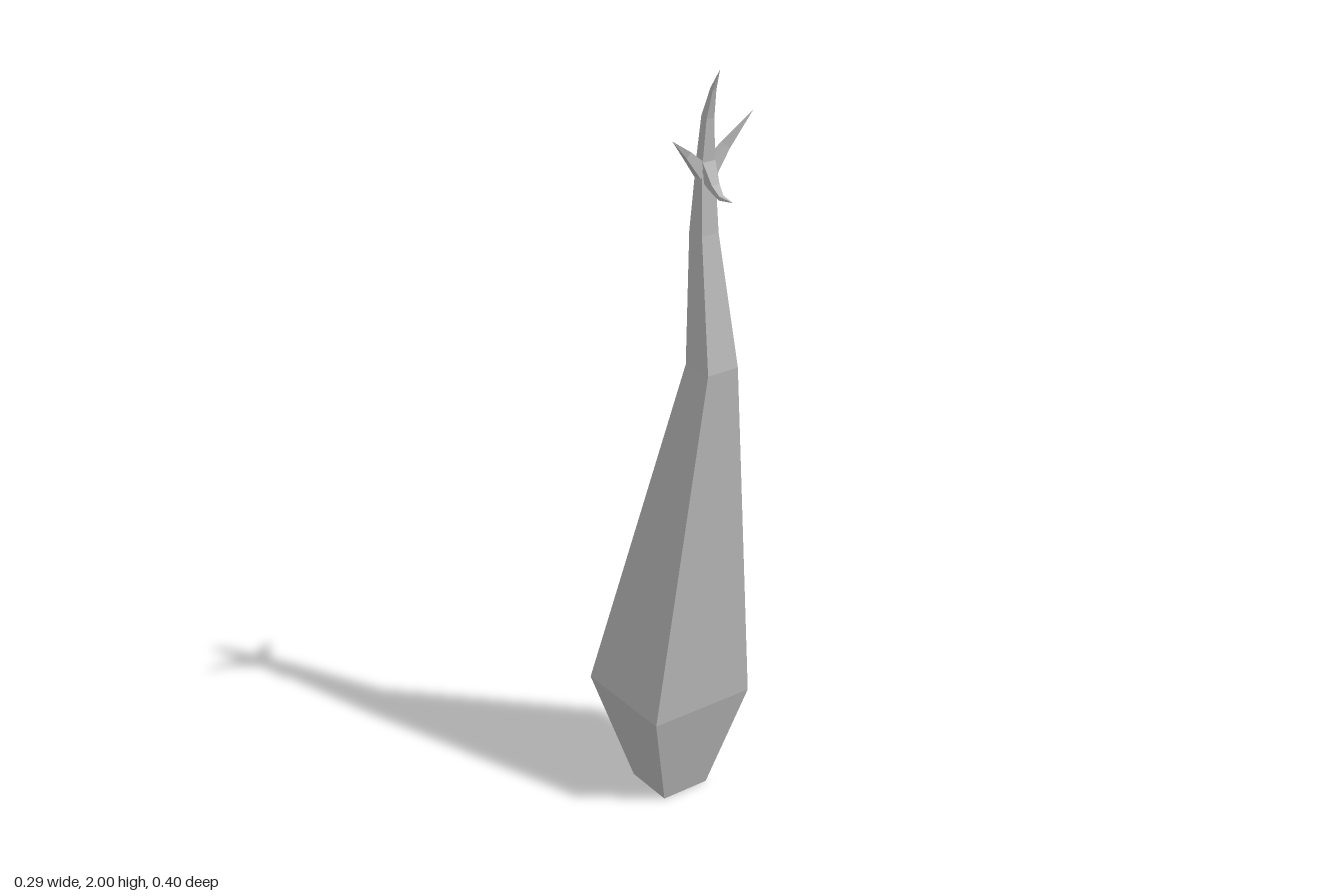
import * as THREE from 'three';

const skin = new THREE.MeshStandardMaterial({ color: 0xb8b8b8, flatShading: true });
skin.name = 'plain grey';

// Four-sided loft. Each section: [x, y, z, half size along u, half size along v, direction]
// A zero-size last section makes a pointed tip.
function loft(name, u, sections) {
  const U = new THREE.Vector3(...u).normalize();
  const rings = sections.map(([x, y, z, hu, hv, dir]) => {
    const V = new THREE.Vector3(...dir).cross(U).normalize();
    return [[1, 1], [-1, 1], [-1, -1], [1, -1]].map(([a, b]) =>
      new THREE.Vector3(x, y, z).addScaledVector(U, a * hu).addScaledVector(V, b * hv));
  });
  const pos = [];
  const tri = (...pts) => pts.forEach((p) => pos.push(p.x, p.y, p.z));
  for (let i = 0; i < rings.length - 1; i++) {
    const a = rings[i], b = rings[i + 1];
    const pointed = sections[i + 1][3] === 0;
    for (let k = 0; k < 4; k++) {
      const n = (k + 1) % 4;
      tri(a[k], a[n], b[n]);
      if (!pointed) tri(a[k], b[n], b[k]);
    }
  }
  // End caps
  const s = rings[0], e = rings[rings.length - 1];
  tri(s[0], s[2], s[1]);
  tri(s[0], s[3], s[2]);
  if (sections[sections.length - 1][3] > 0) {
    tri(e[0], e[1], e[2]);
    tri(e[0], e[2], e[3]);
  }
  const geo = new THREE.BufferGeometry();
  geo.setAttribute('position', new THREE.Float32BufferAttribute(pos, 3));
  geo.computeVertexNormals();
  const mesh = new THREE.Mesh(geo, skin);
  mesh.name = name;
  return mesh;
}

export function createModel() {
  const group = new THREE.Group();
  group.name = 'clawedStalk';

  // Bulbous stalk: [height, half width, front z, back z]
  const stalk = [
    [0, 0.068, 0.02, -0.12],
    [0.297, 0.147, 0.095, -0.2],
    [1.272, 0.044, 0.168, 0.08],
    [1.6, 0.024, 0.115, 0.066],
    [1.74, 0.019, 0.108, 0.08],
    [1.78, 0.018, 0.108, 0.082],
  ].map(([y, w, f, b]) => [0, y, (f + b) / 2, w, (f - b) / 2, [0, 1, 0]]);
  group.add(loft('stalk', [1, 0, 0], stalk));

  // Tall claw curving forward at the tip
  group.add(loft('topClaw', [1, 0, 0], [
    [0, 1.77, 0.095, 0.018, 0.013, [0, 1, 0]],
    [0, 1.88, 0.103, 0.011, 0.01, [0, 1, 0.2]],
    [0, 1.95, 0.123, 0.005, 0.005, [0, 1, 0.4]],
    [0, 2.0, 0.147, 0, 0, [0, 1, 0.5]],
  ]));

  // Front claw hooking down and out
  group.add(loft('frontClaw', [1, 0, 0], [
    [0, 1.758, 0.1, 0.018, 0.02, [0, -0.5, 1]],
    [0, 1.72, 0.128, 0.011, 0.009, [0, -0.9, 1]],
    [0, 1.701, 0.155, 0.006, 0.005, [0, -0.2, 1]],
    [0, 1.702, 0.2, 0, 0, [0, 0, 1]],
  ]));

  // Side claws spreading outward
  const sides = [
    ['leftClaw', 1, 0.12, 1.877, 0.116],
    ['rightClaw', -1, -0.127, 1.857, 0.141],
  ];
  for (const [name, s, tx, ty, tz] of sides) {
    group.add(loft(name, [0, 0, 1], [
      [s * 0.01, 1.75, 0.095, 0.013, 0.018, [s, 1, 0]],
      [s * 0.055, 1.8, 0.097, 0.009, 0.009, [s, 1, 0]],
      [tx, ty, tz, 0, 0, [s, 1, 0]],
    ]));
  }
  return group;
}
